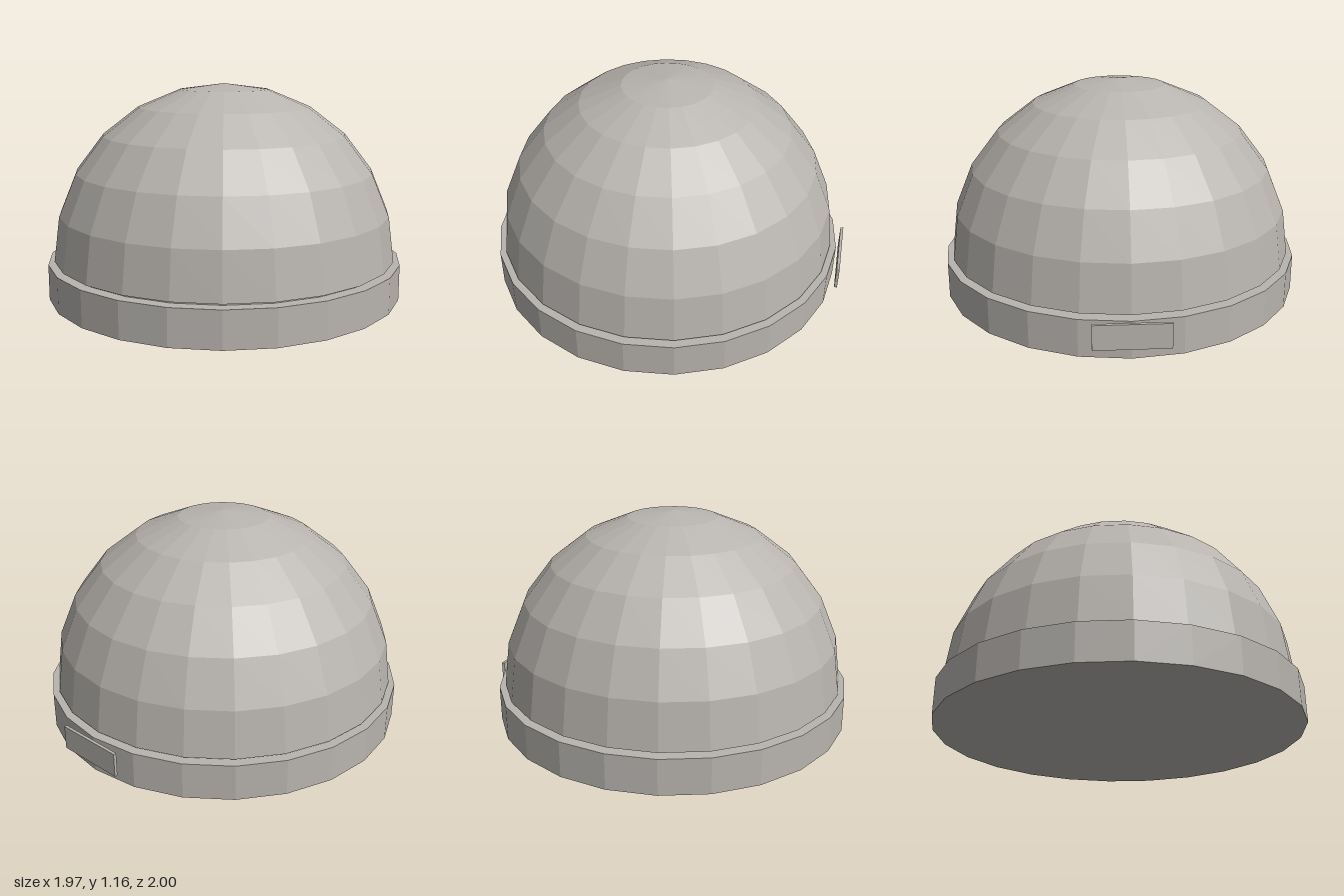
import * as THREE from 'three';

export function createModel() {
  const model = new THREE.Group();
  const grey = new THREE.MeshStandardMaterial({ color: 0xb8b4af, flatShading: true });
  grey.name = 'warm grey';

  const SIDES = 24;
  const CENTRE_Z = 0.016;

  function add(name, geometry, y, z) {
    const mesh = new THREE.Mesh(geometry, grey);
    mesh.name = name;
    mesh.position.set(0, y, z);
    model.add(mesh);
  }

  // round base drum
  add('base', new THREE.CylinderGeometry(0.984, 0.984, 0.195, SIDES), 0.0975, CENTRE_Z);

  // narrow neck between base and dome
  add('neck', new THREE.CylinderGeometry(0.92, 0.92, 0.025, SIDES), 0.2, CENTRE_Z);

  // faceted dome, closed underneath
  const radius = 0.95;
  const rings = 6;
  const profile = [new THREE.Vector2(0, 0)];
  for (let i = 0; i <= rings; i++) {
    const a = (i / rings) * Math.PI / 2;
    profile.push(new THREE.Vector2(i === rings ? 0 : radius * Math.cos(a), radius * Math.sin(a)));
  }
  add('dome', new THREE.LatheGeometry(profile, SIDES), 0.21, CENTRE_Z);

  // small rectangular plate standing just behind the base
  add('rearPlate', new THREE.BoxGeometry(0.38, 0.13, 0.016), 0.13, -0.992);

  return model;
}
